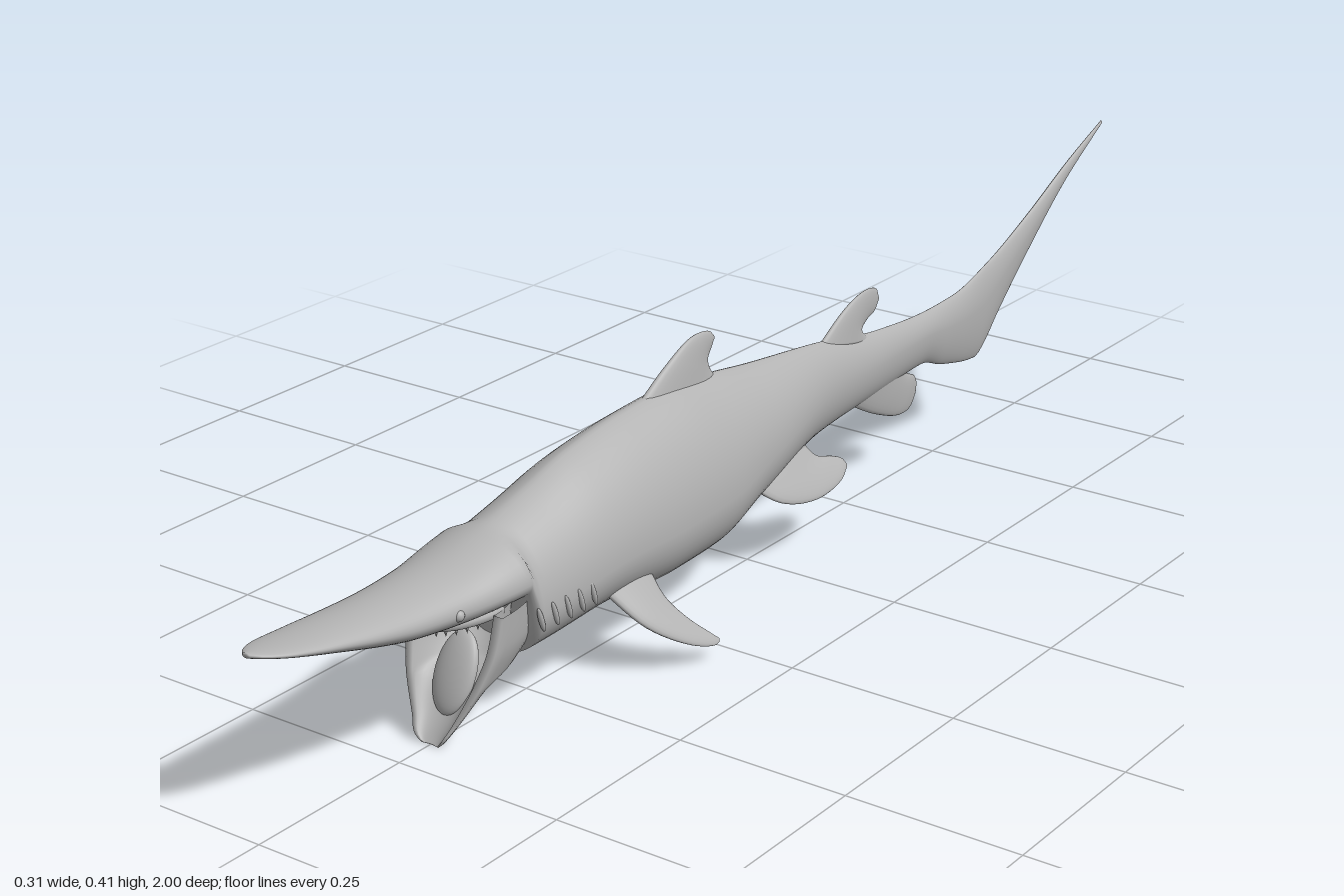
import * as THREE from 'three';

const skin = new THREE.MeshStandardMaterial({ color: 0xb2b2b2, side: THREE.DoubleSide });
skin.name = 'grey skin';

// Monotone cubic through [position, value] pairs, positions falling
function profile(pts) {
  const slope = (i) => (pts[i + 1][1] - pts[i][1]) / (pts[i + 1][0] - pts[i][0]);
  const tangent = (i) => {
    if (i === 0) return slope(0);
    if (i === pts.length - 1) return slope(i - 1);
    const a = slope(i - 1), b = slope(i);
    return a * b <= 0 ? 0 : (2 * a * b) / (a + b);
  };
  return (x) => {
    let i = 0;
    while (i < pts.length - 2 && x < pts[i + 1][0]) i++;
    const h = pts[i + 1][0] - pts[i][0], t = (x - pts[i][0]) / h;
    return pts[i][1] * (1 + 2 * t) * (1 - t) ** 2 + tangent(i) * h * t * (1 - t) ** 2
      + pts[i + 1][1] * t * t * (3 - 2 * t) + tangent(i + 1) * h * t * t * (t - 1);
  };
}

// Skin over closed rings of [x, y, z] points
function loft(rings, capStart = true, capEnd = true) {
  const n = rings[0].length, pos = rings.flat(2), index = [];
  for (let r = 0; r < rings.length - 1; r++) {
    for (let i = 0; i < n; i++) {
      const a = r * n + i, b = r * n + ((i + 1) % n);
      index.push(a, a + n, b, b, a + n, b + n);
    }
  }
  const cap = (r, flip) => {
    const c = pos.length / 3;
    for (let k = 0; k < 3; k++) pos.push(rings[r].reduce((s, p) => s + p[k], 0) / n);
    for (let i = 0; i < n; i++) {
      const a = r * n + i, b = r * n + ((i + 1) % n);
      index.push(c, flip ? b : a, flip ? a : b);
    }
  };
  if (capStart) cap(0, false);
  if (capEnd) cap(rings.length - 1, true);
  const g = new THREE.BufferGeometry();
  g.setAttribute('position', new THREE.Float32BufferAttribute(pos, 3));
  g.setIndex(index);
  g.computeVertexNormals();
  return g;
}

// Body profiles along z, nose to tail
const top = profile([[1, 0.252], [0.9, 0.243], [0.76, 0.237], [0.68, 0.24], [0.6, 0.255], [0.5, 0.28],
  [0.41, 0.305], [0.3, 0.32], [0.2, 0.325], [0.1, 0.315], [0, 0.3], [-0.18, 0.277], [-0.33, 0.25],
  [-0.47, 0.24], [-0.55, 0.243], [-0.65, 0.268], [-0.77, 0.315], [-0.9, 0.375], [-1, 0.415]]);
const bottom = profile([[1, 0.245], [0.9, 0.215], [0.8, 0.186], [0.76, 0.177], [0.68, 0.168], [0.58, 0.165],
  [0.56, 0.08], [0.41, 0.085], [0.25, 0.07], [0.14, 0.072], [0.03, 0.1], [-0.15, 0.137], [-0.34, 0.15],
  [-0.46, 0.157], [-0.52, 0.138], [-0.62, 0.12], [-0.645, 0.135], [-0.68, 0.17], [-0.77, 0.25],
  [-0.88, 0.337], [-1, 0.409]]);
const width = profile([[1, 0.006], [0.985, 0.02], [0.95, 0.034], [0.85, 0.05], [0.7, 0.067], [0.6, 0.081],
  [0.4, 0.091], [0.2, 0.086], [0, 0.064], [-0.2, 0.031], [-0.4, 0.018], [-0.6, 0.013], [-0.8, 0.008], [-1, 0.002]]);
const middle = profile([[1, 0.5], [0.7, 0.45], [0.56, 0.38], [0.2, 0.37], [-0.2, 0.5], [-0.6, 0.62], [-1, 0.5]]);
const pinchTop = profile([[1, 1], [0.7, 1], [0.4, 1.35], [-0.3, 1.4], [-1, 1.3]]);
const pinchLow = profile([[1, 1], [0.2, 1], [-0.3, 1.3], [-1, 1.5]]);

function bodyPoint(z, a) {
  const t = top(z), b = bottom(z), m = b + (t - b) * middle(z);
  const s = Math.sin(a), c = Math.cos(a);
  const x = width(z) * Math.sign(c) * Math.abs(c) ** (s > 0 ? pinchTop(z) : pinchLow(z));
  return [x, m + s * (s > 0 ? t - m : m - b), z];
}

// Point on the left flank at a given z and height
function flank(z, y) {
  let lo = -Math.PI / 2, hi = Math.PI / 2;
  for (let i = 0; i < 25; i++) {
    const a = (lo + hi) / 2;
    if (bodyPoint(z, a)[1] < y) lo = a; else hi = a;
  }
  return bodyPoint(z, lo)[0];
}

// Lens-section fin in the z/y plane between a leading and a trailing edge, root to tip
function fin(lead, trail, thick) {
  const curve = (pts) => new THREE.CatmullRomCurve3(pts.map(([z, y]) => new THREE.Vector3(0, y, z)), false, 'centripetal');
  const A = curve(lead), B = curve(trail), rings = [];
  for (let r = 0; r <= 24; r++) {
    const v = r / 24, p = A.getPoint(v), q = B.getPoint(v), ring = [];
    const h = thick * (0.12 + 0.88 * (1 - v) ** 1.3);
    for (let i = 0; i < 24; i++) {
      const a = (i / 24) * Math.PI * 2, u = (1 - Math.cos(a)) / 2;
      ring.push([h * Math.sin(a), p.y + (q.y - p.y) * u, p.z + (q.z - p.z) * u]);
    }
    rings.push(ring);
  }
  return loft(rings);
}

export function createModel() {
  const model = new THREE.Group();
  model.name = 'shark';
  const add = (name, geo) => {
    const m = new THREE.Mesh(geo, skin);
    m.name = name;
    model.add(m);
    return m;
  };

  // Body with long snout and swept tail
  const rings = [];
  for (let r = 0; r <= 200; r++) {
    const ring = [];
    for (let i = 0; i < 48; i++) ring.push(bodyPoint(1 - r / 100, (i / 48) * Math.PI * 2));
    rings.push(ring);
  }
  add('body', loft(rings));

  // Hanging lower jaw: a hollow scoop of level slices
  const rim = profile([[0.175, 0.635], [0.13, 0.645], [0.072, 0.667], [0.03, 0.683], [0.008, 0.693], [0, 0.692]]);
  const back = profile([[0.175, 0.5], [0.13, 0.5], [0.085, 0.54], [0.072, 0.6], [0.03, 0.65], [0.008, 0.675], [0, 0.688]]);
  const jawWidth = profile([[0.175, 0.078], [0.13, 0.074], [0.085, 0.062], [0.072, 0.057], [0.03, 0.036], [0.008, 0.023], [0, 0.014]]);
  const slices = [];
  for (let r = 0; r <= 40; r++) {
    const y = 0.175 * (1 - r / 40), slice = [];
    for (let i = 0; i < 48; i++) {
      const outer = i < 24, a = Math.PI * (outer ? i / 23 : (47 - i) / 23);
      slice.push([jawWidth(y) * (outer ? 1 : 0.82) * Math.cos(a), y,
        rim(y) - (rim(y) - back(y)) * (outer ? 1 : 0.62) * Math.sin(a)]);
    }
    slices.push(slice);
  }
  add('lowerJaw', loft(slices, false, true));

  const tongue = add('tongue', new THREE.SphereGeometry(1, 32, 20));
  tongue.scale.set(0.032, 0.056, 0.013);
  tongue.position.set(0, 0.08, 0.638);
  tongue.rotation.x = -0.46;

  // Upper jaw ridge with a row of small teeth
  const arc = [];
  for (let i = 0; i <= 12; i++) {
    const a = (i / 12) * Math.PI;
    arc.push(new THREE.Vector3(0.054 * Math.cos(a), 0.172, 0.61 + 0.09 * Math.sin(a)));
  }
  const ridge = new THREE.CatmullRomCurve3(arc);
  add('upperJaw', new THREE.TubeGeometry(ridge, 40, 0.008, 10));
  for (let i = 0; i < 13; i++) {
    const tooth = add('tooth', new THREE.ConeGeometry(0.003, 0.01, 6));
    tooth.position.copy(ridge.getPoint(0.14 + 0.06 * i));
    tooth.position.y -= 0.011;
    tooth.rotation.x = Math.PI;
  }

  // Fins on the midline
  add('firstDorsalFin', fin([[0.27, 0.305], [0.19, 0.353], [0.13, 0.378], [0.09, 0.375], [0.08, 0.366]],
    [[0.06, 0.29], [0.088, 0.318], [0.095, 0.335], [0.086, 0.35], [0.079, 0.36]], 0.015));
  add('secondDorsalFin', fin([[-0.17, 0.265], [-0.25, 0.309], [-0.3, 0.322], [-0.33, 0.316], [-0.336, 0.303]],
    [[-0.32, 0.24], [-0.29, 0.262], [-0.305, 0.275], [-0.325, 0.282], [-0.336, 0.296]], 0.011));
  add('analFin', fin([[-0.24, 0.165], [-0.33, 0.117], [-0.4, 0.093], [-0.43, 0.096], [-0.443, 0.112]],
    [[-0.4, 0.175], [-0.42, 0.155], [-0.44, 0.145], [-0.447, 0.133], [-0.446, 0.12]], 0.01));

  // Paired parts
  for (const [side, s] of [['left', 1], ['right', -1]]) {
    const pectoral = add(side + 'PectoralFin', fin([[0.42, 0.03], [0.385, -0.045], [0.33, -0.095], [0.292, -0.111], [0.283, -0.11]],
      [[0.32, 0.03], [0.325, -0.02], [0.31, -0.06], [0.29, -0.09], [0.279, -0.105]], 0.012));
    pectoral.position.set(s * 0.082, 0.107, 0);
    pectoral.rotation.z = s * 0.72;

    const pelvic = add(side + 'PelvicFin', fin([[0.06, 0], [0.01, -0.055], [-0.06, -0.076], [-0.13, -0.07], [-0.155, -0.058]],
      [[-0.1, 0], [-0.11, -0.02], [-0.14, -0.032], [-0.157, -0.042], [-0.16, -0.052]], 0.013));
    pelvic.position.set(s * 0.03, 0.15, 0);
    pelvic.rotation.z = s * 0.68;

    const eye = add(side + 'Eye', new THREE.SphereGeometry(0.008, 16, 12));
    eye.position.set(s * (flank(0.7, 0.2) - 0.004), 0.2, 0.7);

    // Slanted gill slits
    for (let i = 0; i < 5; i++) {
      const z = 0.565 - i * 0.025, y = 0.147;
      const gill = add(side + 'Gill', new THREE.SphereGeometry(1, 12, 10));
      gill.scale.set(0.004, 0.019, 0.004);
      gill.position.set(s * flank(z, y), y, z);
      gill.rotation.x = 0.3;
    }
  }
  return model;
}
